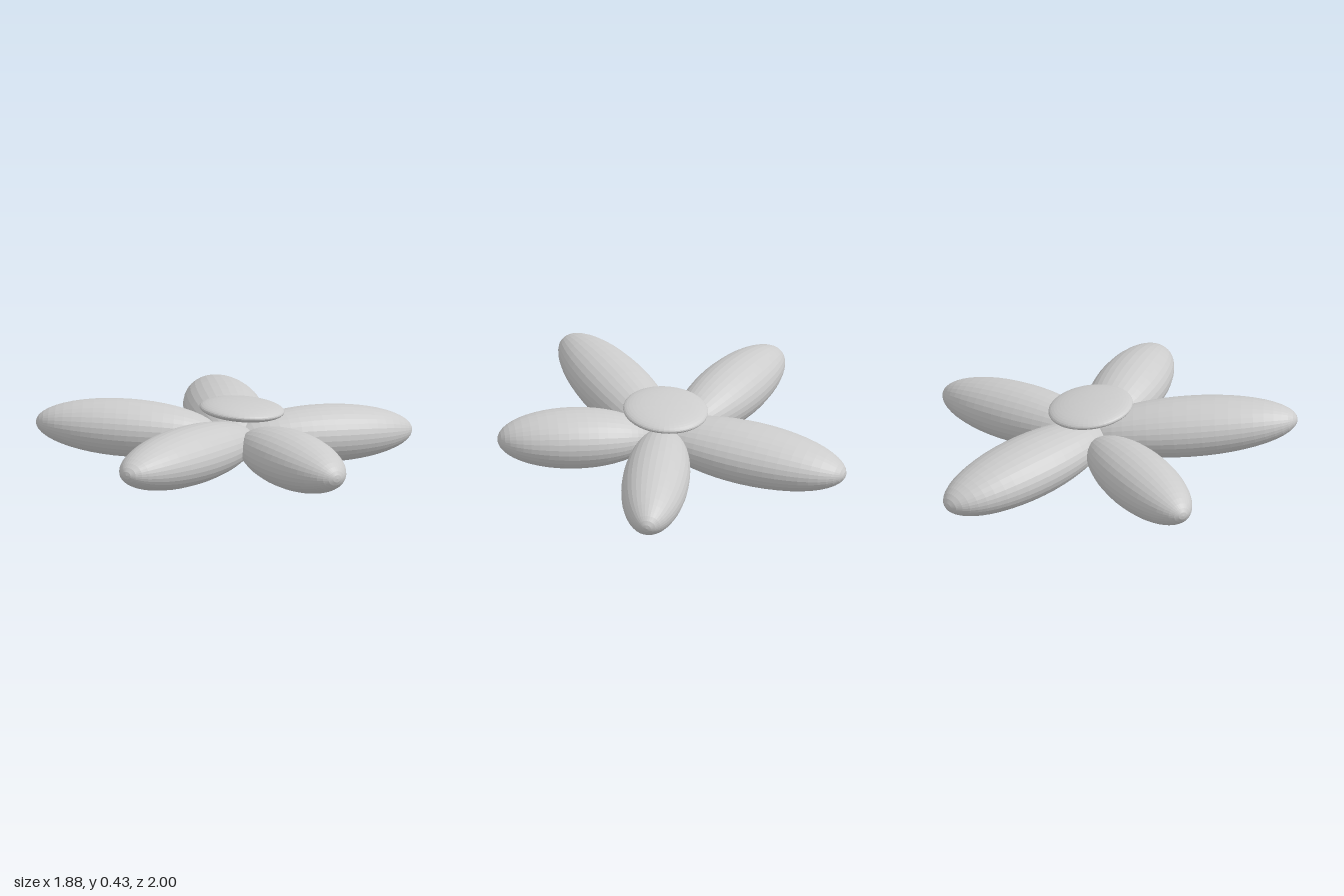
import * as THREE from 'three';

const TILT = -0.107; // whole flower leans: front up, back down

export function createModel() {
  const flower = new THREE.Group();
  flower.name = 'flower';
  const material = new THREE.MeshStandardMaterial({ color: 0xcccccc, flatShading: true });

  // Unit sphere with its poles along the petal's length (z)
  const petalGeometry = new THREE.SphereGeometry(1, 32, 24).rotateX(Math.PI / 2);

  // Petals: centre x, centre z, outward direction (x, z), half width, half length
  const petals = [
    ['frontPetal', 0.07, 0.4, 0, 1, 0.2, 0.6],
    ['leftPetal', 0.53, 0.04, 0.94, 0.342, 0.2, 0.43],
    ['backLeftPetal', 0.335, -0.555, 0.55, -0.835, 0.185, 0.52],
    ['backRightPetal', -0.29, -0.494, -0.67, -0.74, 0.222, 0.56],
    ['rightPetal', -0.5, 0.15, -0.851, 0.525, 0.187, 0.51],
  ];
  for (const [name, x, z, dx, dz, halfWidth, halfLength] of petals) {
    const petal = new THREE.Mesh(petalGeometry, material);
    petal.name = name;
    petal.scale.set(halfWidth, 0.159, halfLength);
    petal.rotation.set(TILT, Math.atan2(dx, dz), 0);
    petal.position.set(x, 0.222 + 0.1 * z, z);
    flower.add(petal);
  }

  // Flattened centre resting on the petals
  const centre = new THREE.Mesh(new THREE.SphereGeometry(1, 48, 24), material);
  centre.name = 'flowerCentre';
  centre.scale.set(0.236, 0.048, 0.236);
  centre.rotation.x = TILT - 0.02;
  centre.position.set(0.06, 0.372, -0.15);
  flower.add(centre);

  return flower;
}
